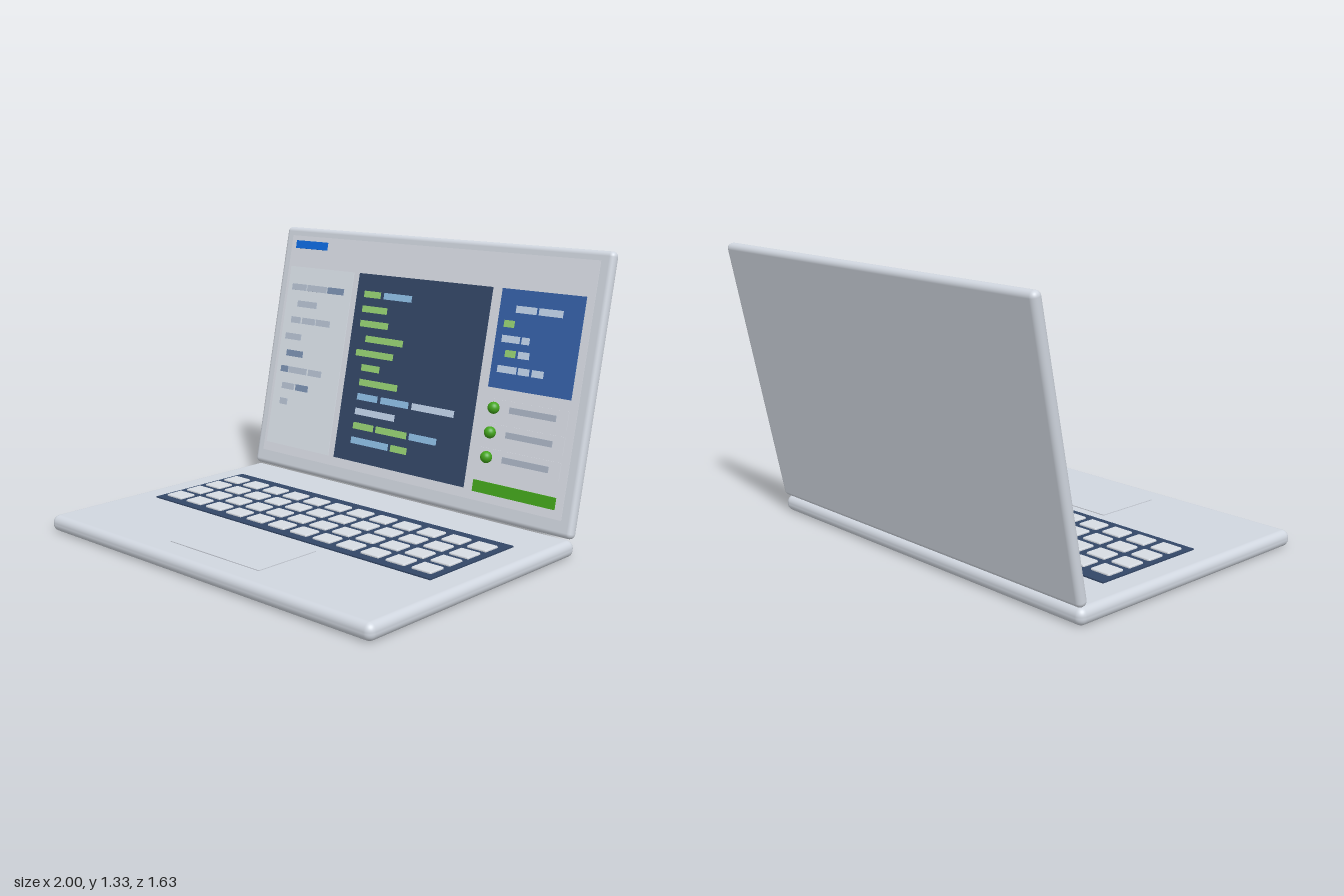
import * as THREE from 'three';
import { RoundedBoxGeometry } from 'three/addons/geometries/RoundedBoxGeometry.js';

const mat = (color) => new THREE.MeshStandardMaterial({ color });
const M = {
  shell: mat(0xd0d6df), key: mat(0xd6dbe2), pale: mat(0xdde4ec), screen: mat(0xdadee6),
  navy: mat(0x334767), blue: mat(0x3560a8), title: mat(0x0d6ae0),
  green: mat(0x43a51c), g: mat(0x98d474), b: mat(0x8fc0e8), w: mat(0xc4d6ee),
  s: mat(0xb6c2d2), d: mat(0x7c92b2), slider: mat(0xaab4c4),
};

const TILT = 0.208;
const LID_Y = 0.705, LID_Z = -0.664, LID_T = 0.052;

function add(parent, name, geometry, material, x, y, z) {
  const mesh = new THREE.Mesh(geometry, material);
  mesh.name = name;
  mesh.position.set(x, y, z);
  parent.add(mesh);
  return mesh;
}

// Height seen from the front -> height along the tilted lid
const alongLid = (y) => (y - LID_Y - 0.006) / Math.cos(TILT);

// Flat panel on the lid, sunk into the shell and reaching depth `front`
function panel(lid, name, x0, x1, y0, y1, front, material) {
  const v0 = alongLid(y0), v1 = alongLid(y1), back = LID_T / 2 - 0.008;
  add(lid, name, new THREE.BoxGeometry(x1 - x0, v1 - v0, front - back), material,
    (x0 + x1) / 2, (v0 + v1) / 2, (front + back) / 2);
}

// Rows of short bars: each row is [y, [x0, x1, material key], ...]
function bars(lid, name, rows) {
  for (const [y, ...items] of rows)
    for (const [x0, x1, key] of items) panel(lid, name, x0, x1, y - 0.016, y + 0.016, 0.039, M[key]);
}

function createBase() {
  const base = new THREE.Group();
  base.name = 'base';
  add(base, 'baseShell', new RoundedBoxGeometry(2, 0.076, 1.37, 4, 0.034), M.shell, 0, 0.038, 0.13);
  add(base, 'keyboardPlate', new THREE.BoxGeometry(1.72, 0.012, 0.575), M.navy, -0.005, 0.076, 0);
  add(base, 'trackpad', new THREE.BoxGeometry(0.56, 0.01, 0.34), M.shell, -0.005, 0.075, 0.515);
  const keyGeometry = new RoundedBoxGeometry(0.104, 0.02, 0.09, 2, 0.006);
  for (let row = 0; row < 4; row++)
    for (let col = 0; col < 12; col++)
      add(base, 'key', keyGeometry, M.key, -0.785 + col * 0.1413, 0.081, -0.177 + row * 0.125);
  return base;
}

function createLid() {
  const lid = new THREE.Group();
  lid.name = 'lid';
  lid.position.set(0, LID_Y, LID_Z);
  lid.rotation.x = -TILT;
  add(lid, 'lidShell', new RoundedBoxGeometry(2, 1.275, LID_T, 4, 0.024), M.shell, 0, 0, 0);

  // Screen and its large panes
  panel(lid, 'screen', -0.945, 0.94, 0.16, 1.29, 0.029, M.screen);
  panel(lid, 'titleBar', -0.905, -0.685, 1.225, 1.265, 0.038, M.title);
  panel(lid, 'sidePane', -0.925, -0.475, 0.205, 1.13, 0.033, M.pale);
  panel(lid, 'codePane', -0.435, 0.395, 0.205, 1.13, 0.033, M.navy);
  panel(lid, 'previewPane', 0.45, 0.9, 0.68, 1.13, 0.033, M.blue);
  panel(lid, 'button', 0.45, 0.9, 0.2, 0.253, 0.039, M.green);

  // Status cards with a round light and a bar
  const ball = new THREE.SphereGeometry(0.028, 24, 16);
  for (const y of [0.59, 0.478, 0.365]) {
    panel(lid, 'statusCard', 0.45, 0.9, y - 0.04, y + 0.04, 0.033, M.screen);
    panel(lid, 'statusBar', 0.59, 0.84, y - 0.014, y + 0.014, 0.039, M.slider);
    add(lid, 'statusLight', ball, M.green, 0.507, alongLid(y), 0.045);
  }

  bars(lid, 'sideBar', [
    [1.025, [-0.89, -0.79, 's'], [-0.78, -0.645, 's'], [-0.635, -0.525, 'd']],
    [0.94, [-0.835, -0.7, 's']],
    [0.855, [-0.865, -0.8, 's'], [-0.785, -0.695, 's'], [-0.685, -0.59, 's']],
    [0.768, [-0.89, -0.78, 's']],
    [0.682, [-0.865, -0.75, 'd']],
    [0.597, [-0.89, -0.84, 'd'], [-0.83, -0.705, 's'], [-0.69, -0.6, 's']],
    [0.511, [-0.865, -0.78, 's'], [-0.765, -0.68, 'd']],
    [0.43, [-0.865, -0.815, 's']],
  ]);
  bars(lid, 'codeBar', [
    [1.03, [-0.38, -0.275, 'g'], [-0.25, -0.075, 'b']],
    [0.957, [-0.38, -0.22, 'g']],
    [0.885, [-0.38, -0.2, 'g']],
    [0.812, [-0.33, -0.09, 'g']],
    [0.74, [-0.38, -0.14, 'g']],
    [0.67, [-0.33, -0.215, 'g']],
    [0.597, [-0.33, -0.085, 'g']],
    [0.526, [-0.33, -0.2, 'b'], [-0.175, 0, 'b'], [0.025, 0.28, 'w']],
    [0.453, [-0.33, -0.075, 'w']],
    [0.382, [-0.33, -0.2, 'g'], [-0.18, 0.015, 'g'], [0.035, 0.2, 'b']],
    [0.309, [-0.33, -0.09, 'b'], [-0.07, 0.03, 'g']],
  ]);
  bars(lid, 'previewBar', [
    [1.042, [0.545, 0.655, 'w'], [0.67, 0.795, 'w']],
    [0.973, [0.49, 0.545, 'g']],
    [0.905, [0.49, 0.587, 'w'], [0.6, 0.64, 'w']],
    [0.84, [0.52, 0.575, 'g'], [0.592, 0.65, 'w']],
    [0.768, [0.49, 0.593, 'w'], [0.605, 0.663, 'w'], [0.68, 0.74, 'w']],
  ]);
  return lid;
}

export function createModel() {
  const model = new THREE.Group();
  model.name = 'laptop';
  model.add(createBase(), createLid());
  return model;
}
